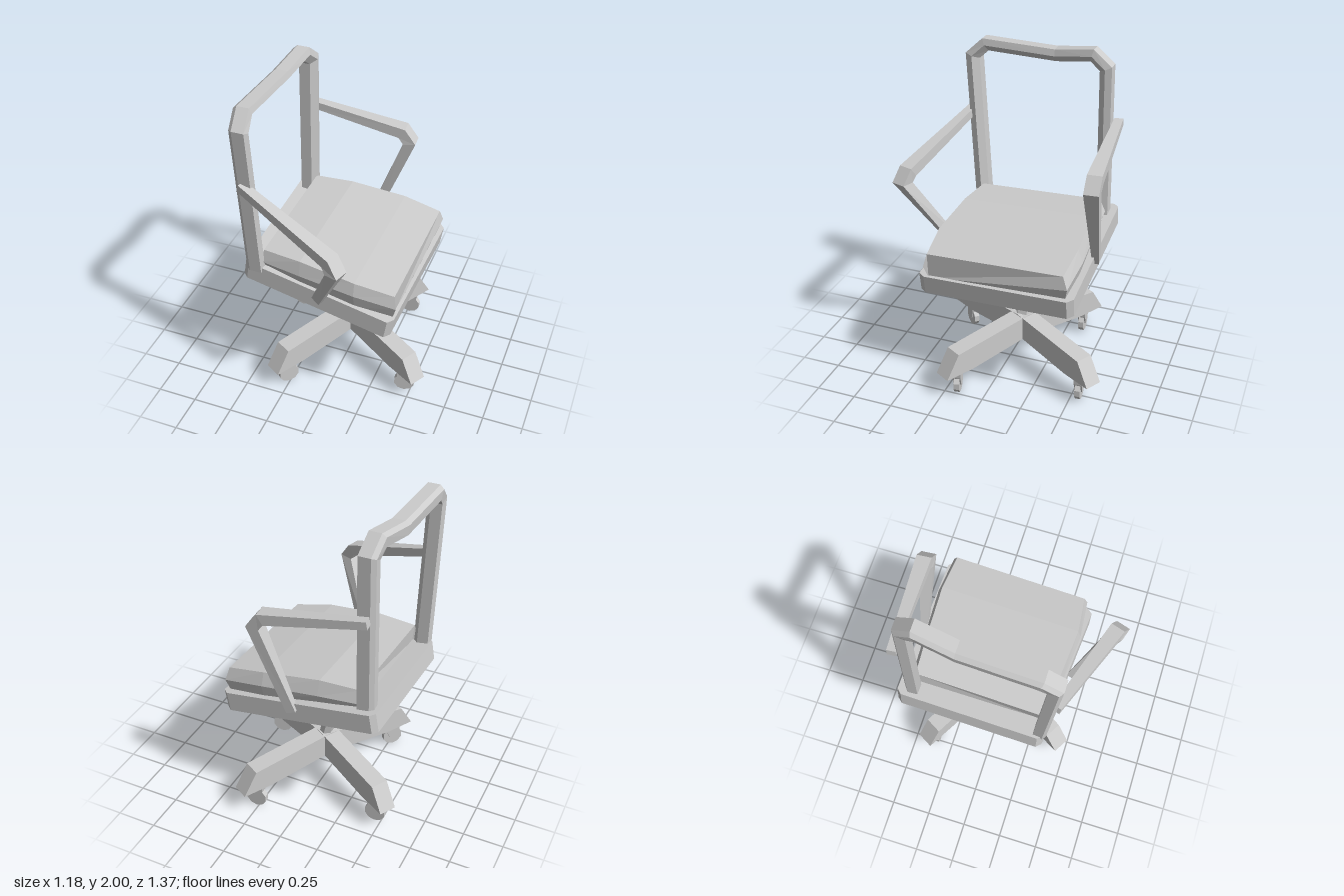
import * as THREE from 'three';

const material = new THREE.MeshStandardMaterial({ color: 0xcccccc, flatShading: true });
const V = (x, y, z) => new THREE.Vector3(x, y, z);

function mesh(name, geometry, parent) {
  const m = new THREE.Mesh(geometry, material);
  m.name = name;
  parent.add(m);
  return m;
}

// Skin a list of equal-length rings, cap both ends, and face everything outward
function loft(rings) {
  const tris = [], n = rings[0].length;
  for (let r = 0; r < rings.length - 1; r++) {
    for (let i = 0; i < n; i++) {
      const j = (i + 1) % n, a = rings[r], b = rings[r + 1];
      tris.push([a[i], a[j], b[j]], [a[i], b[j], b[i]]);
    }
  }
  const last = rings[rings.length - 1];
  for (let i = 1; i < n - 1; i++) {
    tris.push([rings[0][0], rings[0][i + 1], rings[0][i]], [last[0], last[i], last[i + 1]]);
  }
  const centre = rings[0][0];
  let volume = 0;
  for (const [a, b, c] of tris) {
    const p = a.clone().sub(centre), q = b.clone().sub(centre), s = c.clone().sub(centre);
    volume += p.dot(q.cross(s));
  }
  if (volume < 0) tris.forEach((t) => t.reverse());
  const g = new THREE.BufferGeometry().setFromPoints(tris.flat());
  g.computeVertexNormals();
  return g;
}

// Mitred bar: section(i) gives [across, along side] offsets at path point i
function bar(path, side, section) {
  return loft(path.map((p, i) => {
    const d0 = p.clone().sub(path[Math.max(i - 1, 0)]).normalize();
    const d1 = path[Math.min(i + 1, path.length - 1)].clone().sub(p).normalize();
    const t = d0.clone().add(d1).normalize();
    const ends = i === 0 || i === path.length - 1;
    const mitre = ends ? 1 : 1 / Math.max(0.6, t.dot(d1));
    const n = side.clone().cross(t).normalize();
    return section(i).map(([a, b]) =>
      p.clone().addScaledVector(n, a * mitre).addScaledVector(side, b));
  }));
}

function makeBase() {
  const base = new THREE.Group();
  base.name = 'base';
  base.position.z = -0.09;
  // Leg side profile, from hub to tip
  const profile = new THREE.Shape([
    [0, 0.205], [0.45, 0.155], [0.65, 0.155], [0.56, 0.305], [0, 0.36],
  ].map(([x, y]) => new THREE.Vector2(x, y)));
  const legGeo = new THREE.ExtrudeGeometry(profile, { depth: 0.11, bevelEnabled: false });
  legGeo.translate(0, 0, -0.055);
  // Caster fork profile
  const forkShape = new THREE.Shape([
    [-0.05, 0.17], [0.05, 0.17], [0.045, 0.12], [0.025, 0.06], [-0.01, 0.055], [-0.045, 0.12],
  ].map(([x, y]) => new THREE.Vector2(x, y)));
  const forkGeo = new THREE.ExtrudeGeometry(forkShape, { depth: 0.05, bevelEnabled: false });
  forkGeo.translate(0, 0, -0.025);
  const wheelGeo = new THREE.CylinderGeometry(0.066, 0.066, 0.034, 10).rotateX(Math.PI / 2);

  const casterYaw = [0.2, 0.05, 0.05, Math.PI / 4];
  for (let k = 0; k < 4; k++) {
    const angle = -Math.PI / 6 + k * Math.PI / 2;
    mesh('leg', legGeo, base).rotation.y = angle;
    const caster = new THREE.Group();
    caster.name = 'caster';
    caster.position.set(0.53 * Math.cos(angle), 0, -0.53 * Math.sin(angle));
    caster.rotation.y = casterYaw[k];
    mesh('fork', forkGeo, caster);
    mesh('wheel', wheelGeo, caster).position.y = 0.066;
    base.add(caster);
  }
  return base;
}

function makeSeat() {
  const seat = new THREE.Group();
  seat.name = 'seat';
  // Sloping slab with clipped corners
  const outline = [[-0.52, 0.34], [-0.49, 0.37], [0.41, 0.43], [0.44, 0.39],
    [0.475, -0.51], [0.44, -0.545], [-0.48, -0.55], [-0.51, -0.52]];
  const under = (x, z) => 0.64 - 0.155 * (x - 0.43) - 0.05 * (z - 0.43);
  mesh('seatSlab', loft([
    outline.map(([x, z]) => V(x - 0.02, under(x - 0.02, z), z)),
    outline.map(([x, z]) => V(x, under(x, z) + 0.125, z)),
  ]), seat);

  // Cushion stations: x, near z, far z, top y, bulge y, and lean of the end face
  const stations = [
    [-0.41, 0.355, -0.49, 1.022, 0.945, -0.02],
    [-0.15, 0.385, -0.505, 1.024, 0.93, 0],
    [0.2, 0.41, -0.525, 0.982, 0.9, 0],
    [0.455, 0.385, -0.51, 0.935, 0.857, 0.02],
  ];
  mesh('cushion', loft(stations.map(([x, near, far, top, bulge, lean]) => {
    const low = 0.77 - 0.155 * (x - 0.44);
    return [[near - 0.02, low, 1.4], [near, bulge, 0], [near - 0.02, top, 0.8],
      [far + 0.03, top, 0.8], [far, bulge, 0], [far + 0.02, low, 1.4]]
      .map(([z, y, k]) => V(x - 0.02 * z - lean * k, y - 0.04 * z, z));
  })), seat);
  return seat;
}

// Six-sided stem that flares into the bracket under the seat
function makeStem() {
  const levels = [[0.005, 0.33, 0.037, 0.052], [-0.06, 0.605, 0.034, 0.052], [-0.065, 0.745, 0.107, 0.082]];
  return loft(levels.map(([cx, y, rx, rz]) =>
    [[-1, 0.6], [0, 1], [1, 0.6], [1, -0.6], [0, -1], [-1, -0.6]]
      .map(([a, b]) => V(cx + a * rx, y, -0.09 + b * rz))));
}

// Open back hoop with a bevelled section
function makeBack() {
  const path = [
    V(-0.45, 0.87, 0.345), V(-0.465, 1.86, 0.41), V(-0.475, 1.935, 0.33),
    V(-0.455, 1.925, -0.13), V(-0.425, 1.96, -0.365), V(-0.415, 1.89, -0.452), V(-0.43, 0.9, -0.465),
  ];
  const section = [[0.04, -0.03], [0.04, 0.045], [0, 0.055], [-0.04, 0.02], [-0.04, -0.05], [0.02, -0.055]];
  return bar(path, V(1, 0, 0), () => section);
}

// Arm: rail running forward to an elbow, then a strut down to the slab
function makeArm(path, side) {
  const half = [[0.024, 0.027], [0.034, 0.045], [0.034, 0.045], [0.03, 0.02]];
  return bar(path, side.normalize(), (i) => {
    const [t, w] = half[i];
    return [[t, w], [t, -w], [-t, -w], [-t, w]];
  });
}

export function createModel() {
  const chair = new THREE.Group();
  chair.name = 'officeChair';
  chair.add(makeBase(), makeSeat());
  mesh('stem', makeStem(), chair);
  mesh('backFrame', makeBack(), chair);
  mesh('nearArm', makeArm([
    V(-0.48, 1.505, 0.42), V(0.13, 1.29, 0.61), V(0.172, 1.225, 0.63), V(-0.03, 0.8, 0.42),
  ], V(-0.3, 0, 0.95)), chair);
  mesh('farArm', makeArm([
    V(-0.455, 1.545, -0.53), V(0.16, 1.442, -0.563), V(0.21, 1.375, -0.563), V(0, 0.83, -0.55),
  ], V(0.08, 0, 1)), chair);
  return chair;
}
